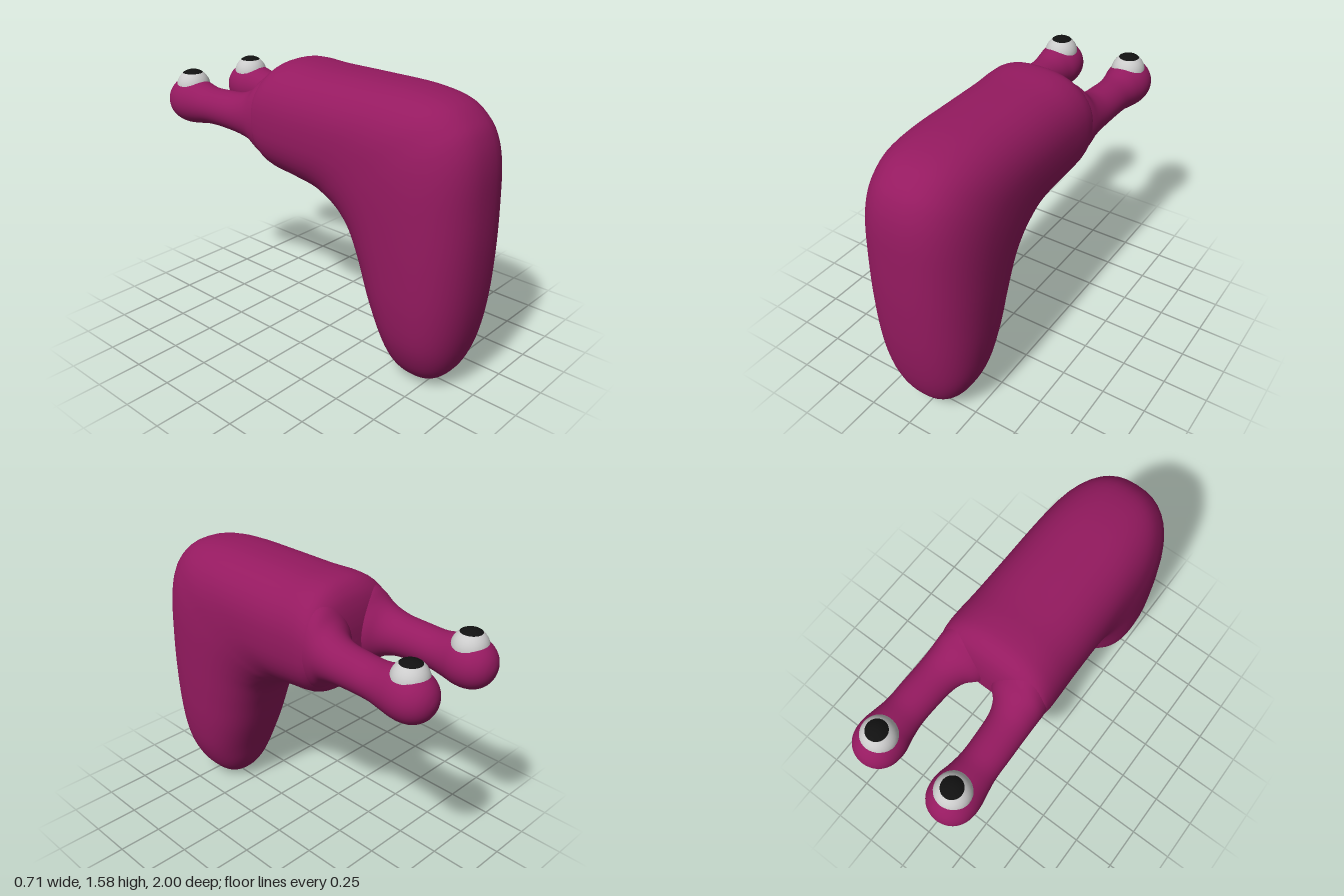
import * as THREE from 'three';

const SIDES = 48;
const skin = new THREE.MeshStandardMaterial({ color: 0x951a60 });
const white = new THREE.MeshStandardMaterial({ color: 0xcccccc });
const black = new THREE.MeshStandardMaterial({ color: 0x111111 });

// Smooth skin over sections [outerZ, outerY, innerZ, innerY, halfWidth, centreX]
function loft(sections, steps, power) {
  const outer = new THREE.CatmullRomCurve3(
    sections.map(s => new THREE.Vector3(s[4], s[1], s[0])), false, 'catmullrom');
  const inner = new THREE.CatmullRomCurve3(
    sections.map(s => new THREE.Vector3(s[5] || 0, s[3], s[2])), false, 'catmullrom');
  const pos = [], index = [];
  const bend = v => Math.sign(v) * Math.pow(Math.abs(v), 2 / power);
  for (let i = 0; i <= steps; i++) {
    const o = outer.getPoint(i / steps), n = inner.getPoint(i / steps);
    for (let j = 0; j < SIDES; j++) {
      const a = j / SIDES * Math.PI * 2;
      const c = bend(Math.cos(a)), s = bend(Math.sin(a));
      pos.push(n.x + o.x * s,
        (o.y + n.y) / 2 + (o.y - n.y) / 2 * c,
        (o.z + n.z) / 2 + (o.z - n.z) / 2 * c);
      if (i < steps) {
        const k = (j + 1) % SIDES, p = i * SIDES, q = p + SIDES;
        index.push(p + j, p + k, q + j, p + k, q + k, q + j);
      }
    }
  }
  const g = new THREE.BufferGeometry();
  g.setAttribute('position', new THREE.Float32BufferAttribute(pos, 3));
  g.setIndex(index);
  g.computeVertexNormals();
  return g;
}

function add(parent, name, geometry, material) {
  const m = new THREE.Mesh(geometry, material);
  m.name = name;
  parent.add(m);
  return m;
}

export function createModel() {
  const model = new THREE.Group();
  model.name = 'slug';

  // Bent body: up the column, round the corner and back along the neck
  add(model, 'body', loft([
    [0.69, 0.005, 0.69, 0.005, 0],
    [0.75, 0.015, 0.63, 0.015, 0.06],
    [0.83, 0.06, 0.56, 0.06, 0.13],
    [0.895, 0.15, 0.505, 0.15, 0.2],
    [0.945, 0.3, 0.455, 0.29, 0.26],
    [0.98, 0.52, 0.39, 0.46, 0.293],
    [0.998, 0.8, 0.325, 0.64, 0.308],
    [1.0, 1.05, 0.26, 0.77, 0.315],
    [0.993, 1.24, 0.2, 0.835, 0.318],
    [0.965, 1.37, 0.14, 0.875, 0.318],
    [0.91, 1.46, 0.08, 0.9, 0.316],
    [0.8, 1.535, 0.03, 0.918, 0.314],
    [0.6, 1.57, -0.02, 0.93, 0.312],
    [0.3, 1.575, -0.07, 0.94, 0.313],
    [0.02, 1.575, -0.13, 0.952, 0.316],
    [-0.14, 1.581, -0.19, 0.962, 0.32],
    [-0.23, 1.568, -0.245, 0.982, 0.32],
    [-0.285, 1.52, -0.285, 1.03, 0.31],
    [-0.315, 1.45, -0.315, 1.1, 0.26],
    [-0.33, 1.36, -0.33, 1.18, 0.14],
    [-0.333, 1.27, -0.333, 1.27, 0],
  ], 100, 2.4), skin);

  // Stalk outline: [z, lowY, highY, nearX, farX], flared into the body
  const stalk = [
    [-0.22, 1.03, 1.53, 0.0, 0.312],
    [-0.29, 1.06, 1.49, 0.01, 0.319],
    [-0.34, 1.115, 1.435, 0.04, 0.321],
    [-0.39, 1.142, 1.402, 0.085, 0.321],
    [-0.46, 1.158, 1.38, 0.11, 0.322],
    [-0.58, 1.166, 1.372, 0.12, 0.325],
    [-0.68, 1.163, 1.37, 0.122, 0.327],
    [-0.76, 1.15, 1.385, 0.112, 0.339],
    [-0.82, 1.141, 1.397, 0.098, 0.35],
    [-0.87, 1.14, 1.4, 0.096, 0.352],
    [-0.92, 1.15, 1.39, 0.106, 0.342],
    [-0.96, 1.175, 1.363, 0.131, 0.317],
    [-0.985, 1.208, 1.33, 0.164, 0.284],
    [-0.997, 1.245, 1.295, 0.199, 0.249],
    [-1.0, 1.27, 1.27, 0.224, 0.224],
  ];

  for (const side of [1, -1]) {
    const group = new THREE.Group();
    group.name = side > 0 ? 'leftEyeStalk' : 'rightEyeStalk';
    model.add(group);
    add(group, 'stalk', loft(stalk.map(([z, lo, hi, near, far]) =>
      [z, hi, z, lo, (far - near) / 2, side * (near + far) / 2]), 60, 2), skin);

    // Upward-looking eye set into the bulb
    add(group, 'eyeball', new THREE.SphereGeometry(0.095, 32, 20), white)
      .position.set(side * 0.221, 1.349, -0.853);
    add(group, 'pupil', new THREE.SphereGeometry(0.0965, 32, 8, 0, Math.PI * 2, 0, 0.62), black)
      .position.set(side * 0.221, 1.349, -0.853);
  }
  return model;
}
